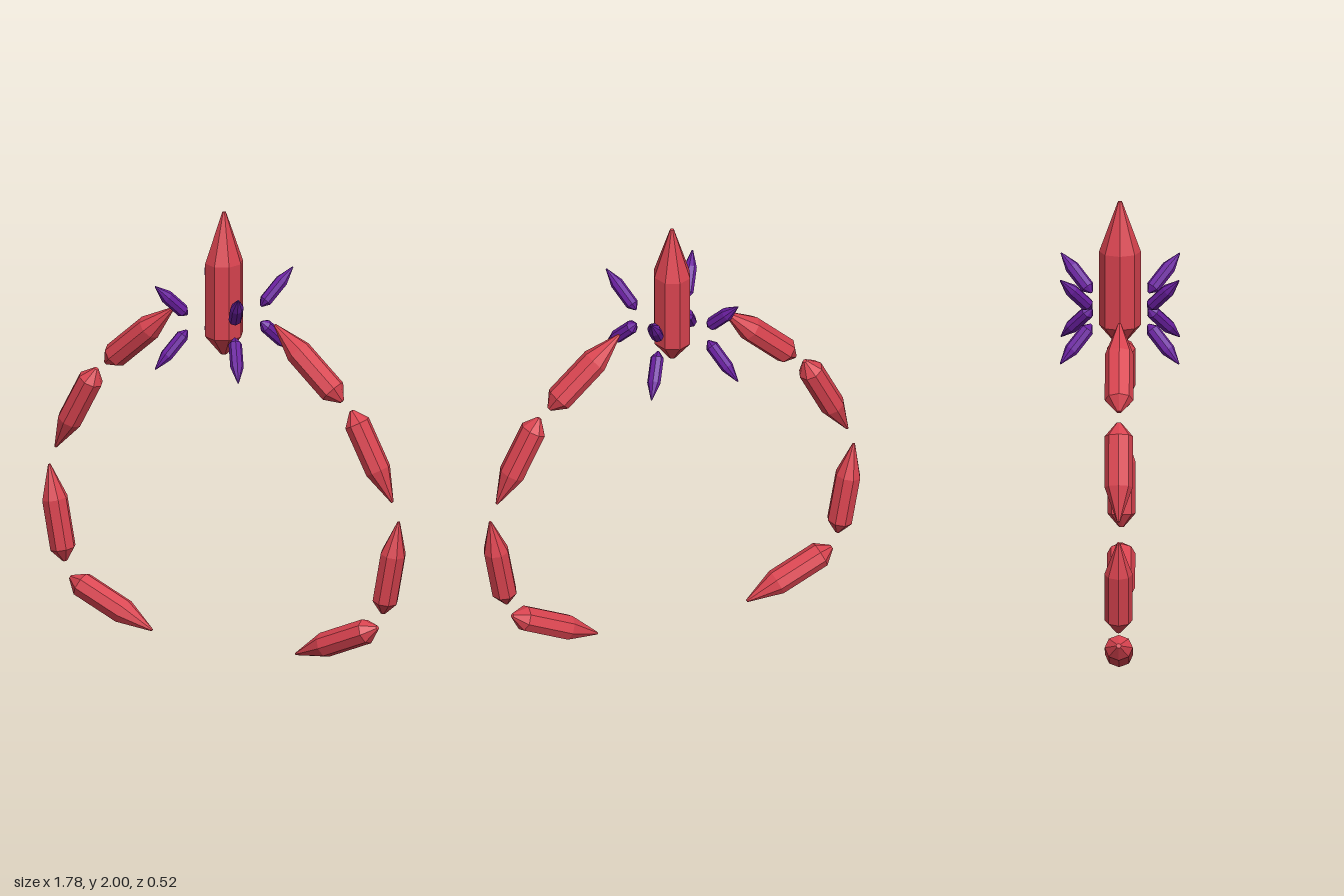
import * as THREE from 'three';

const red = new THREE.MeshStandardMaterial({ color: 0xd8434f, flatShading: true });
const purple = new THREE.MeshStandardMaterial({ color: 0x6a1fa0, flatShading: true });

// Eight-sided crystal of length 1: blunt cap at y = 0, straight body, long taper to y = 1
const crystalGeometry = new THREE.LatheGeometry(
  [[0, 0], [0.025, 0], [0.14, 0.135], [0.14, 0.65], [0.014, 1], [0, 1]]
    .map(([r, y]) => new THREE.Vector2(r, y)), 8);
crystalGeometry.scale(0.91, 1, 1);

// Places a crystal with its blunt end at `base` and its point at `tip`
function crystal(name, material, base, tip) {
  const from = new THREE.Vector3(...base);
  const axis = new THREE.Vector3(...tip).sub(from);
  const length = axis.length();
  axis.normalize();
  // Keep the wide direction of the crystal as close to z as possible
  const side = new THREE.Vector3().crossVectors(axis, new THREE.Vector3(0, 0, 1)).normalize();
  const depth = new THREE.Vector3().crossVectors(side, axis);
  const mesh = new THREE.Mesh(crystalGeometry, material);
  mesh.name = name;
  mesh.quaternion.setFromRotationMatrix(new THREE.Matrix4().makeBasis(side, axis, depth));
  mesh.position.copy(from);
  mesh.scale.setScalar(length);
  return mesh;
}

export function createModel() {
  const model = new THREE.Group();
  model.name = 'crystalRing';

  // Large upright crystal at the top
  model.add(crystal('mainCrystal', red, [0, 1.345, 0], [0, 2, 0]));

  // Ring crystals, [base x, base y, tip x, tip y], from the top down
  const ring = [
    [0.583, 1.213, 0.25, 1.517],
    [0.63, 1.178, 0.832, 0.785],
    [0.785, 0.265, 0.863, 0.7],
    [0.758, 0.194, 0.355, 0.01],
  ];
  for (const [label, s] of [['left', 1], ['right', -1]]) {
    ring.forEach(([bx, by, tx, ty], i) => {
      model.add(crystal(`${label}RingCrystal${i + 1}`, red, [s * bx, by, 0], [s * tx, ty, 0]));
    });

    // Small shards radiating around the main crystal
    for (const [end, f] of [['Front', 1], ['Back', -1]]) {
      model.add(crystal(`${label}${end}UpperShard`, purple,
        [s * 0.118, 1.545, f * 0.125], [s * 0.205, 1.7, f * 0.26]));
      model.add(crystal(`${label}${end}LowerShard`, purple,
        [s * 0.118, 1.472, f * 0.125], [s * 0.205, 1.317, f * 0.26]));
    }
  }
  return model;
}
